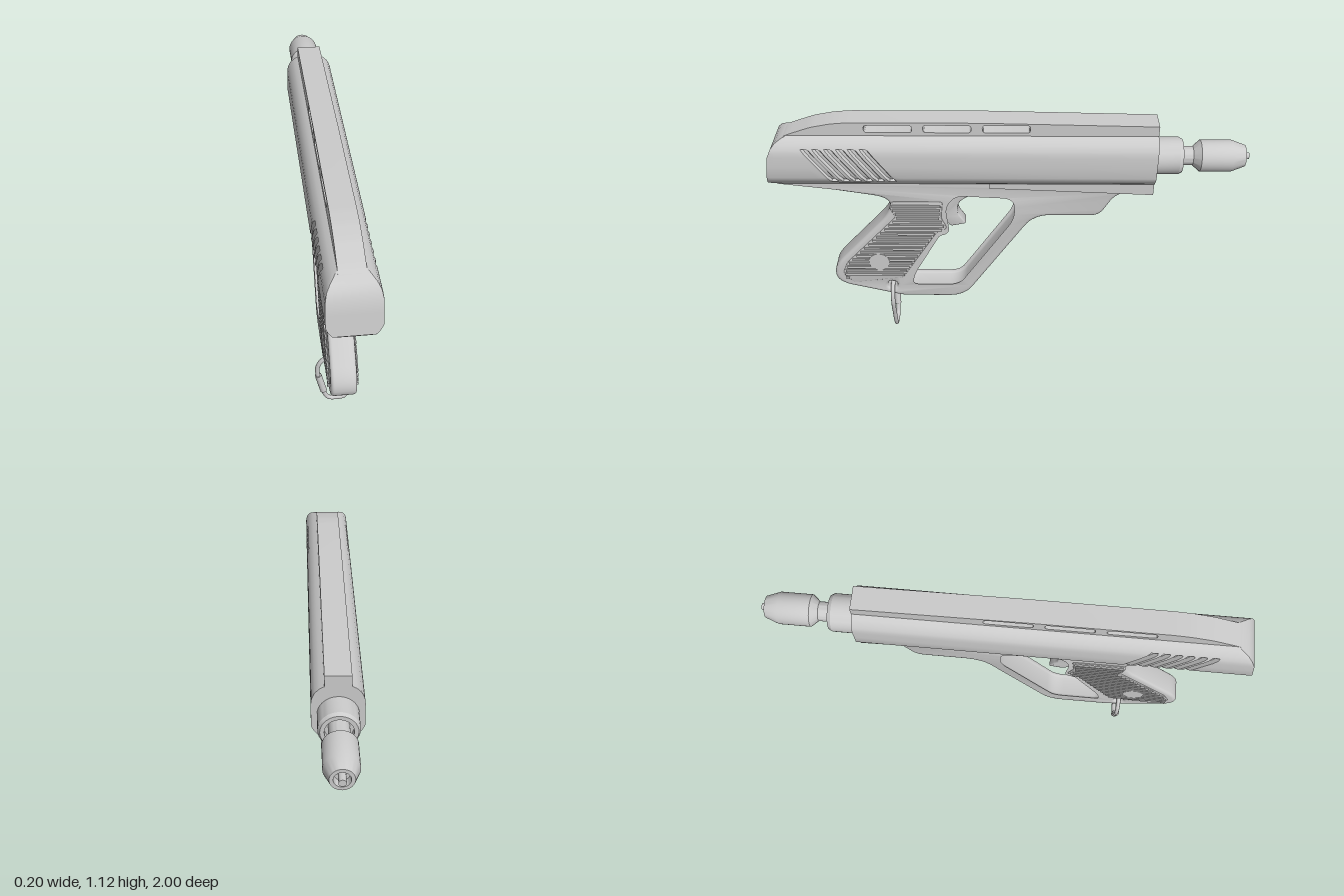
import * as THREE from 'three';
import { toCreasedNormals } from 'three/addons/utils/BufferGeometryUtils.js';

const mat = new THREE.MeshStandardMaterial({ color: 0xcccccc, side: THREE.DoubleSide });
const clamp = THREE.MathUtils.clamp;

// Polygon with softened corners; a third value in a point overrides the radius
function rounded(pts, r, path = new THREE.Shape()) {
  pts.forEach(([x, y, rad = r], i) => {
    const p = new THREE.Vector2(x, y);
    const toward = (q) => {
      const d = new THREE.Vector2(q[0] - x, q[1] - y), len = d.length();
      return p.clone().addScaledVector(d, Math.min(rad, len * 0.49) / len);
    };
    const a = toward(pts[(i + pts.length - 1) % pts.length]), b = toward(pts[(i + 1) % pts.length]);
    if (i === 0) path.moveTo(a.x, a.y); else path.lineTo(a.x, a.y);
    path.quadraticCurveTo(x, y, b.x, b.y);
  });
  path.closePath();
  return path;
}

// Extrude a (z, y) outline symmetrically across x
function slab(shape, halfWidth, bevel) {
  const depth = 2 * (halfWidth - bevel);
  const geo = new THREE.ExtrudeGeometry(shape, {
    depth, curveSegments: 8, bevelEnabled: bevel > 0, bevelThickness: bevel,
    bevelSize: bevel, bevelOffset: -bevel, bevelSegments: 3,
  });
  geo.translate(0, 0, -depth / 2).rotateY(-Math.PI / 2);
  return toCreasedNormals(geo, 0.6);
}

// Linear lookup in a list of [key, value], keys ascending
function lookup(table, k) {
  for (let i = 1; i < table.length; i++) {
    const [k0, v0] = table[i - 1], [k1, v1] = table[i];
    if (k <= k1) return v0 + (v1 - v0) * clamp((k - k0) / (k1 - k0), 0, 1);
  }
  return table[table.length - 1][1];
}

// Receiver body: sections along z, with slanted grooves pressed into both sides
function bodyGeometry() {
  const width = [[0.83, 0.055], [0.85, 0.077], [0.87, 0.092], [0.888, 0.1], [0.985, 0.1],
    [1.01, 0.097], [1.035, 0.085], [1.052, 0.068], [1.062, 0.05]];
  const rows = [0.83, 0.845, 0.862, 0.868, 0.875, 0.888, 0.94, 0.985, 1.005, 1.015, 1.022, 1.035, 1.052, 1.062];
  const topAt = [[0.9, 1.062], [0.93, 1.055], [0.965, 1.04], [0.985, 1.02], [1, 0.985]];
  const bottomAt = [[0.98, 0.83], [1, 0.85]];
  const shearAt = [[0.4, 0], [0.49, 0.71], [0.83, 0.71], [0.9, 0]];
  const stations = [1, 0.985, 0.965, 0.93, 0.9, 0.83].map((z) => [z, 0]);
  for (let i = 0; i < 6; i++) {
    const c = 0.775 - i * 0.048;
    stations.push([c + 0.016, 0], [c + 0.011, 0.015], [c - 0.004, 0.015], [c - 0.016, 0]);
  }
  stations.push([0.49, 0], [0.4, 0], [-0.61, 0]);

  const n = rows.length, m = 2 * n, pos = [], idx = [];
  for (const [z, depth] of stations) {
    const half = rows.map((row) => {
      const y = clamp(row, lookup(bottomAt, z), lookup(topAt, z));
      const inGroove = row > 0.865 && row < 1.02;
      const x = lookup(width, y) - (inGroove ? depth : 0);
      const slant = lookup(shearAt, z) * (clamp(y, 0.87, 1.025) - 0.9475);
      const lean = clamp((z - 0.9) / 0.1, 0, 1) * (y - 0.86) * 0.15;
      return [x, y, z + slant - lean];
    });
    half.forEach((p) => pos.push(...p));
    [...half].reverse().forEach(([x, y, zz]) => pos.push(-x, y, zz));
  }
  for (let i = 0; i < stations.length - 1; i++) {
    for (let j = 0; j < m; j++) {
      const k = (j + 1) % m, a = i * m + j, b = i * m + k, c = b + m, d = a + m;
      idx.push(a, d, b, b, d, c);
    }
  }
  const last = (stations.length - 1) * m;
  for (let k = 0; k < n - 1; k++) {
    const r0 = k, r1 = k + 1, l1 = m - 2 - k, l0 = m - 1 - k;
    idx.push(r0, r1, l1, r0, l1, l0);
    idx.push(last + r0, last + l1, last + r1, last + r0, last + l0, last + l1);
  }
  const geo = new THREE.BufferGeometry();
  geo.setAttribute('position', new THREE.Float32BufferAttribute(pos, 3));
  geo.setIndex(idx);
  return toCreasedNormals(geo, 0.5);
}

export function createModel() {
  const model = new THREE.Group();
  const add = (name, geo, parent = model) => {
    const mesh = new THREE.Mesh(geo, mat);
    mesh.name = name;
    parent.add(mesh);
    return mesh;
  };

  add('body', bodyGeometry());

  // Top rail with three slots cut through it
  const rail = rounded([[0.93, 1.05], [0.9, 1.065], [0.8, 1.1], [0.72, 1.116], [0.65, 1.122],
    [0.1, 1.122], [-0.61, 1.107, 0], [-0.61, 1.05, 0]], 0.02);
  for (const z of [0.39, 0.15, -0.09]) {
    rail.holes.push(rounded([[z, 1.077], [z + 0.195, 1.077], [z + 0.195, 1.11], [z, 1.11]], 0.014, new THREE.Path()));
  }
  add('topRail', slab(rail, 0.05, 0));

  // Grip and guard frame, with the guard opening and a ring hole
  const frame = rounded([[0.985, 0.84, 0], [0.985, 0.832, 0], [0.5, 0.75, 0.08], [0.515, 0.665], [0.785, 0.37],
    [0.775, 0.278], [0.48, 0.2, 0.03], [0.2, 0.2], [-0.11, 0.66], [-0.39, 0.66, 0.04],
    [-0.46, 0.78, 0.05], [-0.61, 0.78, 0], [-0.61, 0.84, 0]], 0.07);
  frame.holes.push(rounded([[0.445, 0.26, 0.04], [0.215, 0.26], [-0.04, 0.64], [-0.04, 0.765, 0.07], [0.1, 0.772],
    [0.23, 0.78], [0.285, 0.71], [0.275, 0.62, 0.03], [0.27, 0.575, 0.02], [0.31, 0.564, 0.02], [0.44, 0.33]], 0.05, new THREE.Path()));
  const ringHole = new THREE.Path();
  ringHole.absarc(0.527, 0.265, 0.022, 0, Math.PI * 2);
  frame.holes.push(ringHole);
  add('frame', slab(frame, 0.052, 0.014));

  // Tapered rail under the front of the body
  add('lowerRail', slab(rounded([[0.08, 0.812], [-0.61, 0.782], [-0.61, 0.835], [0.08, 0.835]], 0), 0.063, 0));

  // Trigger
  add('trigger', slab(rounded([[0.08, 0.785, 0], [0.08, 0.763, 0.005], [0.168, 0.75], [0.216, 0.714], [0.22, 0.66],
    [0.184, 0.603, 0.006], [0.25, 0.588, 0.01], [0.29, 0.63], [0.3, 0.72], [0.25, 0.785]], 0.025), 0.03, 0.006));

  // Grip panels: thin base, stacked ridges and a round inlay
  const grip = new THREE.Group();
  grip.name = 'gripPanels';
  model.add(grip);
  const panel = [[0.5, 0.735], [0.28, 0.735], [0.29, 0.65], [0.265, 0.595], [0.31, 0.575], [0.475, 0.315],
    [0.7, 0.285], [0.745, 0.34], [0.72, 0.4], [0.485, 0.655], [0.51, 0.7]];
  add('panelBase', slab(rounded(panel, 0.015), 0.056, 0.003), grip);
  for (let y = 0.315; y < 0.73; y += 0.021) {
    const zs = [];
    panel.forEach(([z0, y0], i) => {
      const [z1, y1] = panel[(i + 1) % panel.length];
      if ((y0 - y) * (y1 - y) < 0) zs.push(z0 + (z1 - z0) * (y - y0) / (y1 - y0));
    });
    const lo = Math.min(...zs) + 0.008, hi = Math.max(...zs) - 0.008;
    add('gripRidge', new THREE.BoxGeometry(0.124, 0.011, hi - lo).translate(0, y, (lo + hi) / 2), grip);
  }
  add('gripInlay', toCreasedNormals(new THREE.CylinderGeometry(0.046, 0.046, 0.126, 32), 0.6)
    .rotateZ(Math.PI / 2).translate(0, 0.41, 0.575), grip);

  // Muzzle: hollow collar, neck, flared nozzle and centre pin in one turned profile
  const profile = [[0, 0.6], [0.078, 0.6], [0.078, 0.705], [0.07, 0.72], [0.054, 0.72], [0.054, 0.69], [0.04, 0.69],
    [0.04, 0.765], [0.066, 0.795], [0.066, 0.925], [0.045, 0.982], [0.031, 0.982], [0.028, 0.95],
    [0.014, 0.95], [0.014, 1], [0, 1]].map(([r, d]) => new THREE.Vector2(r, d));
  const muzzle = add('muzzle', toCreasedNormals(new THREE.LatheGeometry(profile, 36), 0.4));
  muzzle.rotation.x = -Math.PI / 2;
  muzzle.position.y = 0.94;

  // Wire ring hanging from the grip, with a locking sleeve
  const right = [[0.035, 0.021], [0.051, 0.05], [0.066, 0.11], [0.08, 0.17], [0.08, 0.205], [0.066, 0.24], [0.036, 0.263]];
  const loop = [[0, 0.014], ...right, [0, 0.27], ...right.map(([x, y]) => [-x, y]).reverse()];
  const wire = new THREE.CatmullRomCurve3(loop.map(([x, y]) => new THREE.Vector3(x, y, 0.527)), true);
  add('lanyardRing', new THREE.TubeGeometry(wire, 96, 0.0095, 10, true));
  const sleeve = add('ringSleeve', new THREE.CylinderGeometry(0.0145, 0.0145, 0.098, 16));
  sleeve.position.set(-0.066, 0.112, 0.527);
  sleeve.rotation.z = 0.24;

  return model;
}
